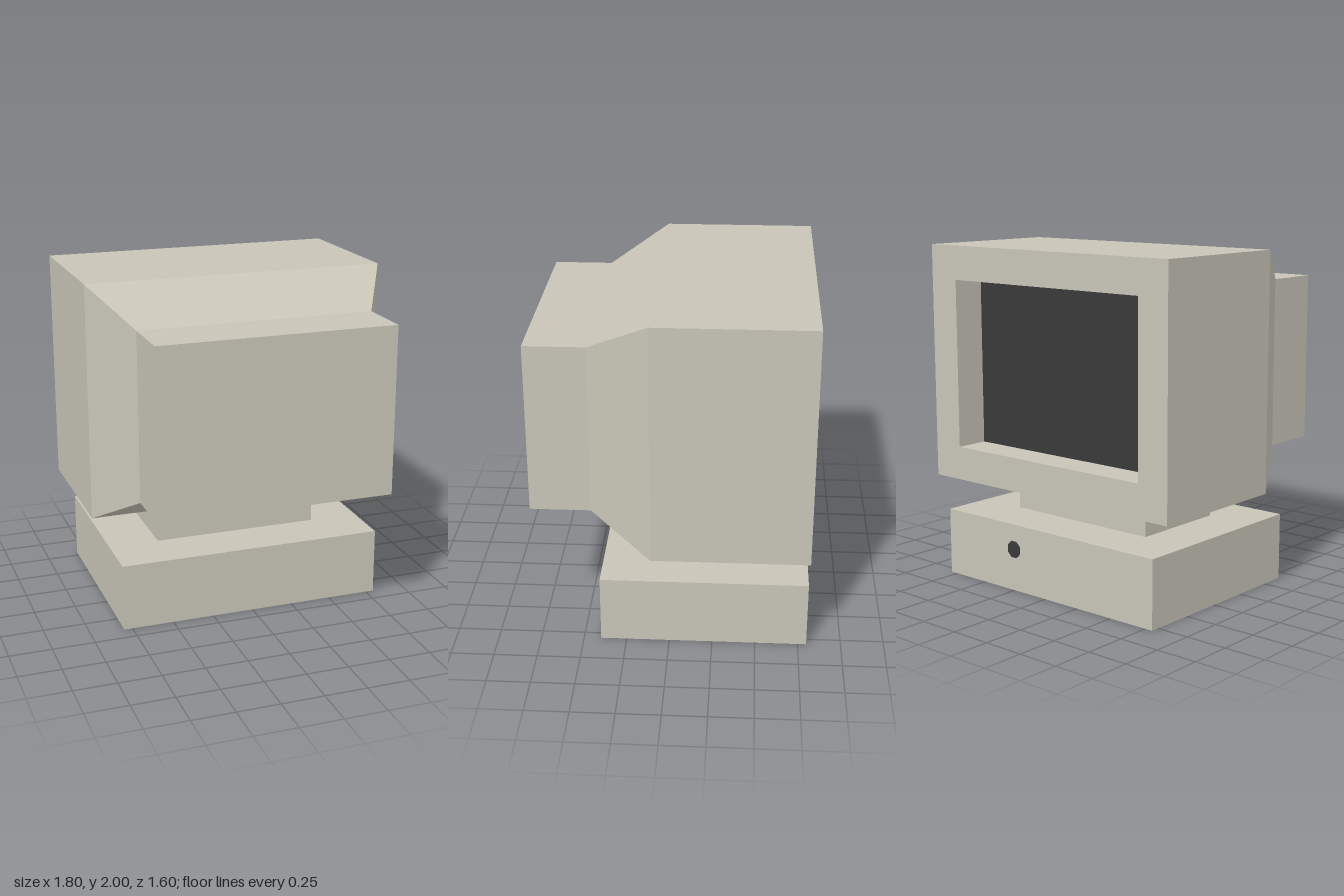
import * as THREE from 'three';

const casing = new THREE.MeshStandardMaterial({ name: 'beige casing', color: 0xc8c5b7 });
const dark = new THREE.MeshStandardMaterial({ name: 'dark glass', color: 0x3a3a3a });

// Box given by its minimum and maximum corners
function box(name, min, max, material) {
  const size = max.map((v, i) => v - min[i]);
  const mesh = new THREE.Mesh(new THREE.BoxGeometry(...size), material);
  mesh.position.set(...max.map((v, i) => (v + min[i]) / 2));
  mesh.name = name;
  return mesh;
}

// Flat-faced shell through rectangular rings [half width, half height, z], closed at the last ring
function rectLoft(rings) {
  const corners = rings.map(([w, h, z]) => [[-w, -h, z], [w, -h, z], [w, h, z], [-w, h, z]]);
  const points = [];
  const quad = (a, b, c, d) => points.push(...a, ...b, ...c, ...a, ...c, ...d);
  for (let i = 0; i < corners.length - 1; i++) {
    const p = corners[i], q = corners[i + 1];
    for (let j = 0; j < 4; j++) {
      const k = (j + 1) % 4;
      quad(p[j], p[k], q[k], q[j]);
    }
  }
  quad(...corners[corners.length - 1]);
  const geometry = new THREE.BufferGeometry();
  geometry.setAttribute('position', new THREE.Float32BufferAttribute(points, 3));
  geometry.computeVertexNormals();
  return geometry;
}

export function createModel() {
  const model = new THREE.Group();
  model.name = 'desktopComputer';

  // Monitor housing: screen recess, bezel, main body, taper and tube cover
  const housing = new THREE.Mesh(rectLoft([
    [0.7, 0.5, -0.6],
    [0.7, 0.5, -0.8],
    [0.9, 0.7, -0.8],
    [0.9, 0.7, 0.1],
    [0.7, 0.5, 0.45],
    [0.7, 0.5, 0.8],
  ]), casing);
  housing.name = 'monitorHousing';
  housing.position.y = 1.3;
  model.add(housing);

  // Screen at the bottom of the recess
  const screen = new THREE.Mesh(new THREE.PlaneGeometry(1.4, 1), dark);
  screen.name = 'screen';
  screen.rotation.y = Math.PI;
  screen.position.set(0, 1.3, -0.6);
  model.add(screen);

  // Stand and computer case
  model.add(box('monitorStand', [-0.5, 0.4, -0.5], [0.5, 0.6, 0.1], casing));
  model.add(box('computerCase', [-0.8, 0, -0.8], [0.8, 0.4, 0.4], casing));

  // Power button on the screen side of the case
  const button = new THREE.Mesh(
    new THREE.CylinderGeometry(0.053, 0.053, 0.008, 8, 1, false, Math.PI / 8), dark);
  button.name = 'powerButton';
  button.rotation.x = Math.PI / 2;
  button.position.set(0.25, 0.25, -0.8);
  model.add(button);

  return model;
}
